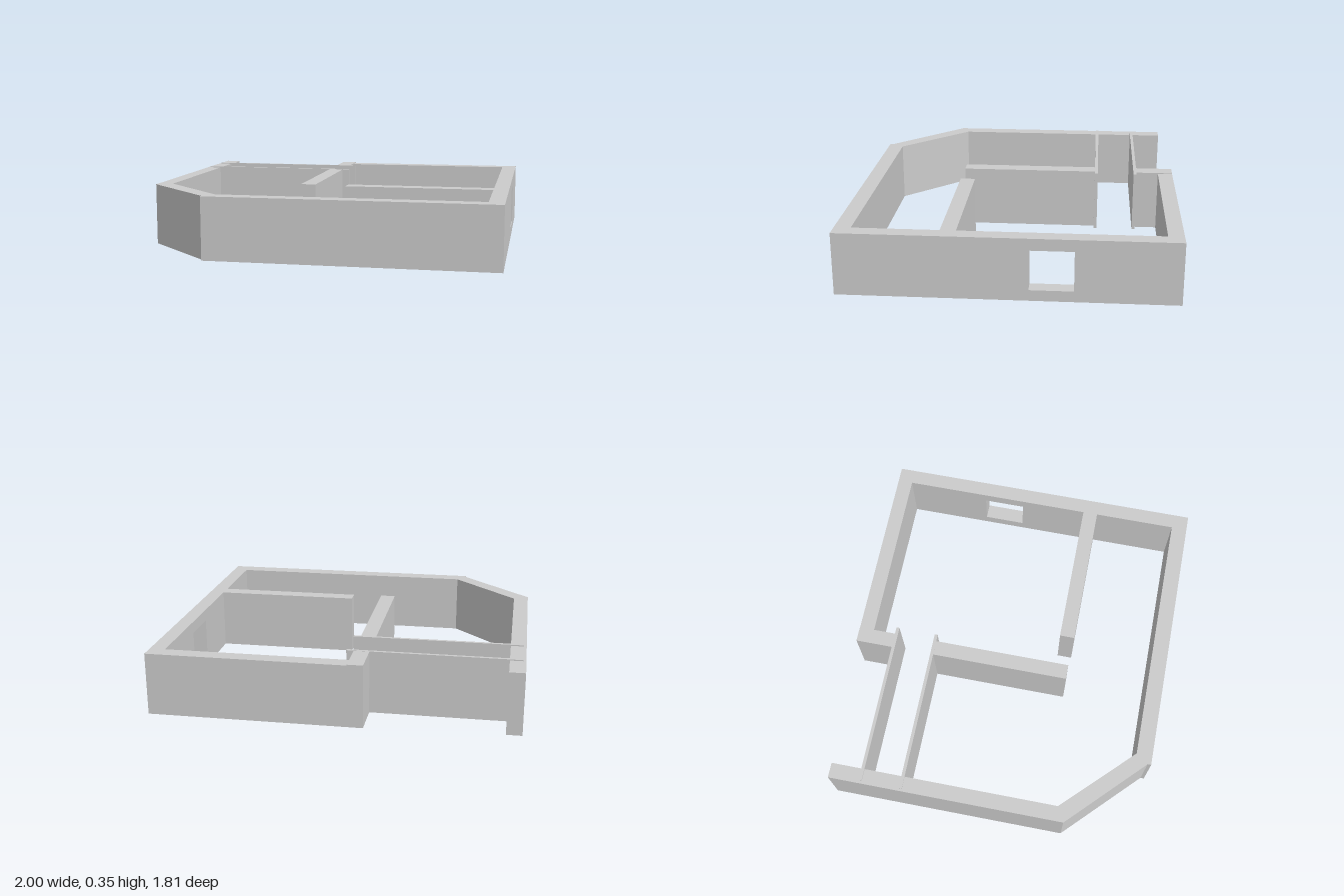
import * as THREE from 'three';

const H = 0.345;       // outer wall height
const H_IN = 0.35;     // interior walls stand slightly higher

export function createModel() {
  const group = new THREE.Group();
  const material = new THREE.MeshStandardMaterial({ color: 0xcccccc, flatShading: true });

  const add = (name, geometry) => {
    const mesh = new THREE.Mesh(geometry, material);
    mesh.name = name;
    group.add(mesh);
  };

  // Wall raised from a floor-plan outline of [x, z] corners
  const planWall = (name, corners, height) => {
    const shape = new THREE.Shape(corners.map(([x, z]) => new THREE.Vector2(x, -z)));
    const geometry = new THREE.ExtrudeGeometry(shape, { depth: height, bevelEnabled: false });
    add(name, geometry.rotateX(-Math.PI / 2));
  };

  // Straight wall between two x and two z limits
  const boxWall = (name, x0, x1, z0, z1, height) => {
    const geometry = new THREE.BoxGeometry(x1 - x0, height, z1 - z0);
    add(name, geometry.translate((x0 + x1) / 2, height / 2, (z0 + z1) / 2));
  };

  // Outer walls, with a slanted corner between the side and the front
  planWall('sideWall', [[-1, -0.865], [-0.915, -0.865], [-0.915, 0.43], [-1, 0.475]], H);
  planWall('slantedWall', [[-1, 0.475], [-0.915, 0.43], [-0.535, 0.815], [-0.585, 0.885]], H);
  planWall('frontWall', [[-0.585, 0.885], [-0.535, 0.815], [0.915, 0.815], [0.915, 0.905], [-0.585, 0.905]], H);
  boxWall('backWall', -0.09, 0.915, -0.905, -0.82, H);

  // Side wall with a window opening, drawn in profile and extruded across its thickness
  const rect = (Type, a0, a1, b0, b1) => new Type([[a0, b0], [a1, b0], [a1, b1], [a0, b1]]
    .map(([a, b]) => new THREE.Vector2(a, b)));
  const profile = rect(THREE.Shape, -0.905, 0.905, 0, H);
  profile.holes.push(rect(THREE.Path, 0.115, 0.35, 0.06, 0.28));
  const windowWall = new THREE.ExtrudeGeometry(profile, { depth: 0.085, bevelEnabled: false });
  add('windowWall', windowWall.rotateY(Math.PI / 2).translate(0.915, 0, 0));

  // Interior walls
  boxWall('entranceWall', -0.175, -0.09, -0.905, -0.69, H_IN);
  boxWall('dividingWall', -0.175, -0.09, -0.445, 0.345, H_IN);
  boxWall('partitionWall', 0.085, 0.915, 0.265, 0.35, H);

  // Thin panels on both sides of the passage
  for (const z of [-0.683, -0.452]) {
    boxWall('passagePanel', -0.985, -0.05, z - 0.009, z + 0.009, H_IN + 0.001);
  }

  return group;
}
